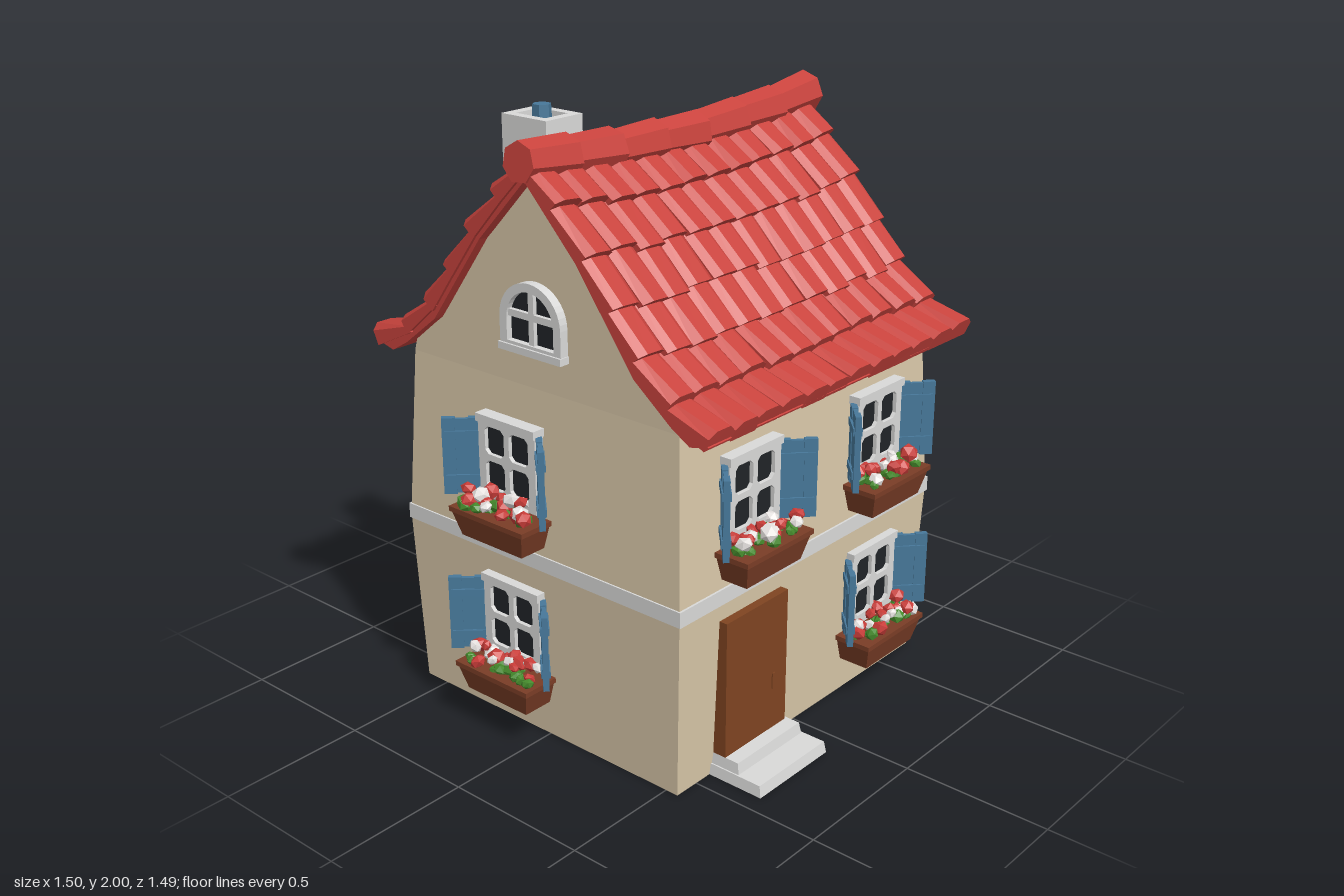
import * as THREE from 'three';
import { mergeGeometries } from 'three/addons/utils/BufferGeometryUtils.js';

const mat = (name, color) => new THREE.MeshStandardMaterial({ name, color, flatShading: true });
const V = (x, y, z) => new THREE.Vector3(x, y, z);
const CX = 0.045, CZ = -0.015; // centre of the roof

// repeatable random number in -1..1
let seed = 7;
const rnd = () => {
  seed = (seed * 16807) % 2147483647;
  return (seed / 2147483647) * 2 - 1;
};

// sag of the roof towards the middle, stronger near the ridge
const sag = (x, y) => -0.04 * Math.max(0, (y - 1.2) / 0.7) * (1 - ((x - CX) / 0.68) ** 2);

// faceted solid through convex loops of points
function loft(loops) {
  const p = [];
  const tri = (...vs) => vs.forEach(v => p.push(v.x, v.y, v.z));
  const n = loops[0].length;
  for (let k = 0; k + 1 < loops.length; k++) {
    const a = loops[k], b = loops[k + 1];
    for (let i = 0; i < n; i++) {
      const j = (i + 1) % n;
      tri(a[i], a[j], b[j]);
      tri(a[i], b[j], b[i]);
    }
  }
  const first = loops[0], last = loops[loops.length - 1];
  for (let i = 1; i + 1 < n; i++) {
    tri(first[0], first[i + 1], first[i]);
    tri(last[0], last[i], last[i + 1]);
  }
  const g = new THREE.BufferGeometry();
  g.setAttribute('position', new THREE.Float32BufferAttribute(p, 3));
  g.computeVertexNormals();
  return g;
}
const rect = (y, x0, x1, z0, z1) => [V(x0, y, z1), V(x1, y, z1), V(x1, y, z0), V(x0, y, z0)];

function add(parent, name, geometry, material, x = 0, y = 0, z = 0) {
  const m = new THREE.Mesh(geometry, material);
  m.name = name;
  m.position.set(x, y, z);
  parent.add(m);
  return m;
}
const box = (parent, name, material, x0, x1, y0, y1, z0, z1) =>
  add(parent, name, new THREE.BoxGeometry(x1 - x0, y1 - y0, z1 - z0), material,
    (x0 + x1) / 2, (y0 + y1) / 2, (z0 + z1) / 2);
const extrude = (shape, depth) =>
  new THREE.ExtrudeGeometry(shape, { depth, bevelEnabled: false, curveSegments: 10 });

// rectangle with cut corners, centred on x, y
function panel(x, y, w, h, c = 0) {
  const a = w / 2, b = h / 2;
  const pts = c
    ? [[-a + c, -b], [a - c, -b], [a, -b + c], [a, b - c], [a - c, b], [-a + c, b], [-a, b - c], [-a, -b + c]]
    : [[-a, -b], [a, -b], [a, b], [-a, b]];
  return new THREE.Shape(pts.map(q => new THREE.Vector2(x + q[0], y + q[1])));
}
function arch(hw, y0, spring, top) {
  const s = new THREE.Shape();
  s.moveTo(-hw, y0).lineTo(hw, y0).lineTo(hw, spring);
  s.absellipse(0, spring, hw, top - spring, 0, Math.PI, false);
  return s;
}

export function createModel() {
  const house = new THREE.Group();
  house.name = 'house';
  const roofRed = mat('roof red', 0xc9433d), plaster = mat('plaster', 0xd8c7a8);
  const trim = mat('trim white', 0xd9d9d8), blue = mat('shutter blue', 0x47789a);
  const doorBrown = mat('door brown', 0x7f4421), boxBrown = mat('planter brown', 0x7a3d26);
  const leafGreen = mat('leaf green', 0x458a2c), glass = mat('dark glass', 0x202427);
  const petalRed = mat('petal red', 0xc83c38), petalWhite = mat('petal white', 0xe6e2e0);

  // bulging walls that run up into the gable
  const gable = (y, d) => rect(y, -0.585, 0.668, CZ - d, CZ + d);
  add(house, 'walls', loft([
    rect(0, -0.59, 0.678, -0.594, 0.546), rect(0.62, -0.612, 0.702, -0.612, 0.572),
    gable(1.2, 0.562), gable(1.24, 0.55), gable(1.345, 0.42), gable(1.645, 0.2), gable(1.855, 0.006),
  ]), plaster);
  box(house, 'wall band', trim, -0.616, 0.706, 0.603, 0.655, -0.616, 0.578);

  // roof slab
  const under = [[0.63, 1.193], [0.56, 1.235], [0.42, 1.345], [0.2, 1.645], [0, 1.855]];
  const over = [[0, 1.895], [0.22, 1.665], [0.44, 1.37], [0.57, 1.27], [0.7, 1.21]];
  const half = [...over, ...under.slice(0, 4)];
  const outline = [...half, [0, 1.855], ...half.slice(1).reverse().map(([d, y]) => [-d, y])];
  const slab = new THREE.ExtrudeGeometry(
    new THREE.Shape(outline.map(q => new THREE.Vector2(...q))), { depth: 1.33, steps: 6, bevelEnabled: false });
  slab.translate(0, 0, -0.665).rotateY(Math.PI / 2).translate(CX, 0, CZ);
  const sp = slab.attributes.position;
  for (let i = 0; i < sp.count; i++) sp.setY(i, sp.getY(i) + sag(sp.getX(i), sp.getY(i)));
  slab.computeVertexNormals();
  add(house, 'roof slab', slab, roofRed);

  // overlapping humped tiles, one slope at a time
  const slope = new THREE.SplineCurve(over.map(q => new THREE.Vector2(...q)));
  const rows = 6, cols = 12, width = 1.35 / cols;
  function tileEnd(t, x0, x1, lift, hump) {
    const p = slope.getPointAt(t), d = slope.getTangentAt(t);
    const at = (u, h) => {
      const x = x0 + (x1 - x0) * u, y = p.y + d.x * h;
      return V(x, y + sag(x + CX, y), p.x - d.y * h);
    };
    return [at(0, -0.015), at(1, -0.015), at(1, lift), at(0.78, lift + hump), at(0.25, lift + hump), at(0, lift)];
  }
  for (const side of ['front', 'back']) {
    const tiles = [];
    for (let r = 0; r < rows; r++) for (let c = 0; c < cols; c++) {
      const x0 = -0.675 + c * width, x1 = x0 + width;
      const t1 = Math.min(1, (r + 1) / rows + (r < rows - 1 ? rnd() * 0.012 : rnd() * 0.006));
      const j = rnd() * 0.005, k = rnd() * 0.004;
      const wob = c > 0 && c < cols - 1 ? rnd() * 0.007 : 0;
      tiles.push(loft([
        tileEnd(Math.max(0, r / rows - 0.02), x0, x1, 0.006, 0.014),
        tileEnd(t1, x0 + wob, x1 + wob, 0.032 + j, 0.019 + k),
      ]));
    }
    const m = add(house, side + 'Tiles', mergeGeometries(tiles), roofRed, CX, 0, CZ);
    if (side === 'back') m.rotation.y = Math.PI;
  }

  // ridge caps
  for (let i = 0; i < 7; i++) {
    const x = -0.63 + (i + 0.5) * 0.197;
    const g = new THREE.CylinderGeometry(0.064, 0.073, 0.205, 7);
    g.rotateZ(Math.PI / 2);
    const cap = add(house, 'ridgeCap', g, roofRed, x, 1.912 + sag(x, 1.9), CZ - 0.01);
    cap.rotation.set(rnd() * 0.3, rnd() * 0.03, (x - CX) * 0.13 + rnd() * 0.03);
  }

  // chimney
  const chimney = new THREE.Group();
  chimney.name = 'chimney';
  chimney.position.set(-0.3, 0, -0.255);
  house.add(chimney);
  add(chimney, 'chimneyStack', loft([
    rect(1.48, -0.066, 0.066, -0.083, 0.085), rect(1.68, -0.07, 0.068, -0.088, 0.085),
    rect(1.81, -0.072, 0.072, -0.09, 0.09)]), trim);
  const crown = panel(0, 0, 0.16, 0.192);
  crown.holes.push(panel(0, 0, 0.098, 0.125));
  add(chimney, 'chimneyCrown', extrude(crown, 0.16).rotateX(-Math.PI / 2), trim, 0, 1.81, 0);
  box(chimney, 'flue', glass, -0.05, 0.05, 1.9, 1.93, -0.064, 0.064);
  add(chimney, 'chimneyPot', new THREE.CylinderGeometry(0.03, 0.034, 0.09, 6), blue, 0, 1.955, 0);

  // blooms and leaves as small faceted lumps
  function lumps(count, size, y0, y1) {
    const list = [];
    for (let i = 0; i < count; i++) {
      const g = new THREE.IcosahedronGeometry(size * (1 + rnd() * 0.25), 0);
      g.scale(1, 0.75, 1).rotateX(rnd()).rotateZ(rnd());
      const u = (i + 0.5) / count * 2 - 1;
      g.translate(u * 0.142 + rnd() * 0.012, y0 + (y1 - y0) * (rnd() + 1) / 2, 0.075 + rnd() * 0.04);
      list.push(g);
    }
    return mergeGeometries(list);
  }

  // shuttered window with a planter, facing +z
  function shutteredWindow(x, y, z, turn = 0) {
    const w = new THREE.Group();
    w.name = 'shutteredWindow';
    w.position.set(x, y, z);
    w.rotation.y = turn;
    house.add(w);
    const frame = panel(0, 0, 0.25, 0.28);
    for (const sx of [-1, 1]) for (const sy of [-1, 1])
      frame.holes.push(panel(sx * 0.053, sy * 0.058, 0.084, 0.094, 0.014));
    add(w, 'windowFrame', extrude(frame, 0.045), trim, 0, 0, -0.015);
    box(w, 'windowGlass', glass, -0.11, 0.11, -0.12, 0.12, 0.008, 0.016);
    box(w, 'windowLintel', trim, -0.128, 0.128, 0.115, 0.142, -0.01, 0.038);
    for (const s of [-1, 1]) {
      const shutter = new THREE.Group();
      shutter.name = s > 0 ? 'leftShutter' : 'rightShutter';
      shutter.position.set(s * 0.127, -0.01, 0.012);
      shutter.rotation.y = -s * 0.75;
      w.add(shutter);
      for (let i = 0; i < 3; i++) {
        const h = 0.13 - (i === 1 ? 0.004 : 0);
        add(shutter, 'shutterBoard', new THREE.BoxGeometry(0.042, h * 2, i === 1 ? 0.014 : 0.02), blue,
          s * (0.021 + i * 0.042), 0, 0);
      }
      for (const by of [-0.075, 0.075])
        add(shutter, 'shutterBatten', new THREE.BoxGeometry(0.11, 0.025, 0.03), blue, s * 0.063, by, 0);
    }
    add(w, 'planter', loft([
      rect(-0.255, -0.133, 0.133, 0, 0.108), rect(-0.175, -0.155, 0.155, 0, 0.128),
      rect(-0.172, -0.163, 0.163, 0, 0.134), rect(-0.155, -0.163, 0.163, 0, 0.134)]), boxBrown);
    add(w, 'leaves', lumps(14, 0.024, -0.155, -0.135), leafGreen);
    add(w, 'redFlowers', lumps(10, 0.027, -0.14, -0.1), petalRed);
    add(w, 'whiteFlowers', lumps(6, 0.026, -0.135, -0.105), petalWhite);
  }
  shutteredWindow(-0.28, 0.94, 0.557);
  shutteredWindow(0.375, 0.94, 0.557);
  shutteredWindow(0.375, 0.385, 0.56);
  shutteredWindow(-0.6, 0.94, -0.12, -Math.PI / 2);
  shutteredWindow(-0.604, 0.385, -0.12, -Math.PI / 2);

  // arched gable windows
  for (const s of [-1, 1]) {
    const w = new THREE.Group();
    w.name = 'archedWindow';
    w.position.set(s > 0 ? 0.664 : -0.581, 0, CZ);
    w.rotation.y = s * Math.PI / 2;
    house.add(w);
    const ring = arch(0.128, 1.325, 1.42, 1.543);
    ring.holes.push(arch(0.098, 1.348, 1.42, 1.515));
    add(w, 'archFrame', extrude(ring, 0.035), trim);
    add(w, 'archGlass', extrude(arch(0.105, 1.34, 1.42, 1.52), 0.008), glass, 0, 0, 0.006);
    box(w, 'archMullion', trim, -0.011, 0.011, 1.335, 1.525, 0, 0.028);
    box(w, 'archCrossbar', trim, -0.105, 0.105, 1.424, 1.446, 0, 0.028);
    box(w, 'archSill', trim, -0.132, 0.132, 1.315, 1.338, 0, 0.042);
  }

  // door
  const door = new THREE.Group();
  door.name = 'door';
  door.position.set(-0.268, 0, 0.54);
  house.add(door);
  const doorFrame = panel(0, 0.31, 0.305, 0.47);
  doorFrame.holes.push(panel(0, 0.288, 0.235, 0.43));
  add(door, 'doorFrame', extrude(doorFrame, 0.058), doorBrown);
  for (let i = 0; i < 3; i++)
    box(door, 'doorPlank', doorBrown, -0.118 + i * 0.079, -0.041 + i * 0.079, 0.07, 0.508, 0, 0.042 - (i % 2) * 0.004);
  box(door, 'doorWindowFrame', doorBrown, -0.085, 0.057, 0.365, 0.455, 0, 0.048);
  box(door, 'doorWindow', glass, -0.075, 0.047, 0.376, 0.444, 0.044, 0.051);
  box(door, 'doorHandle', doorBrown, 0.078, 0.092, 0.22, 0.275, 0.03, 0.062);

  // steps
  add(house, 'lowerStep', loft([rect(0, -0.435, -0.092, 0.5, 0.75), rect(0.038, -0.43, -0.095, 0.5, 0.742)]), trim);
  add(house, 'upperStep', loft([rect(0.038, -0.425, -0.1, 0.5, 0.655), rect(0.075, -0.42, -0.105, 0.5, 0.648)]), trim);
  return house;
}
